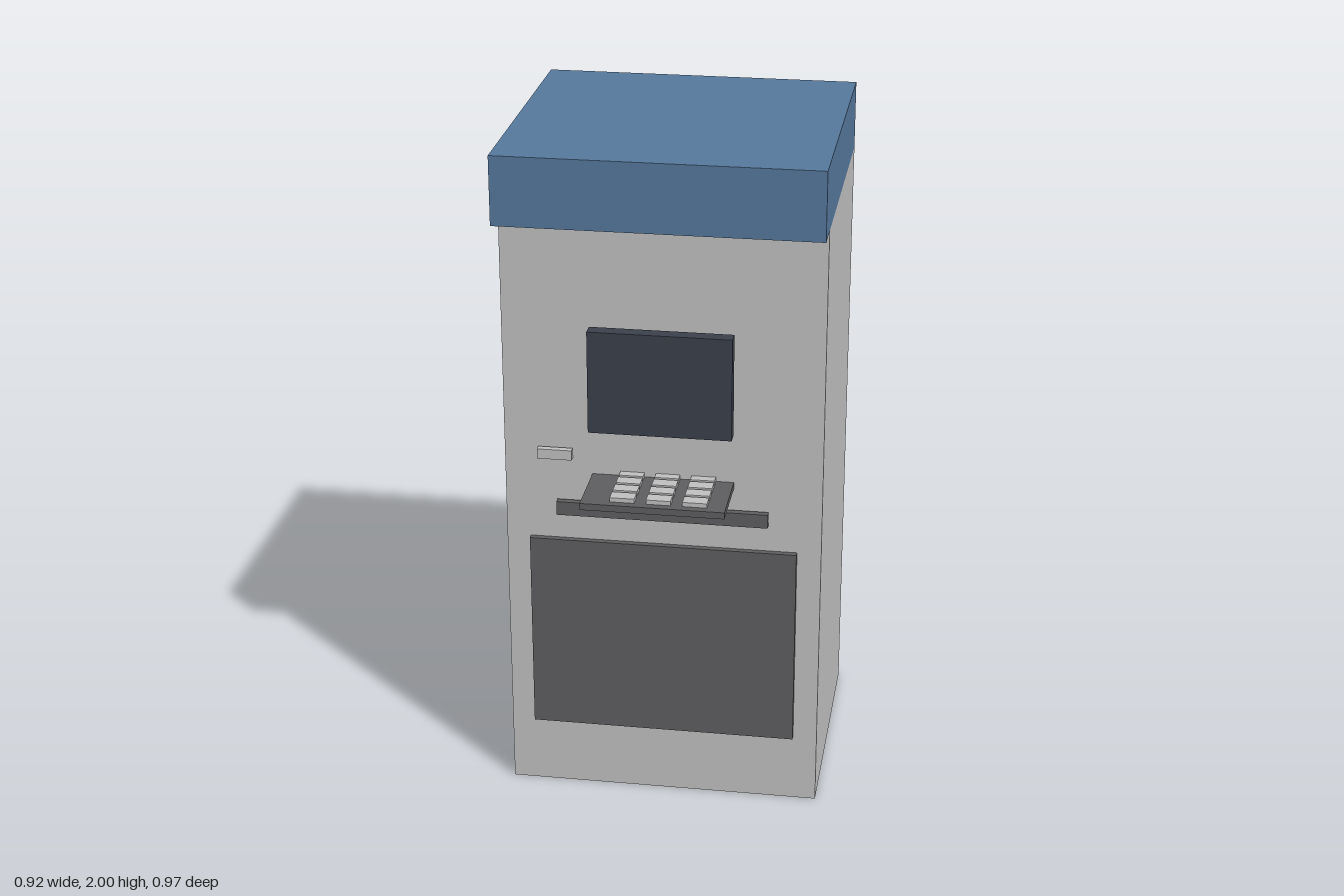
import * as THREE from 'three';

const material = (name, color) => {
  const m = new THREE.MeshStandardMaterial({ color });
  m.name = name;
  return m;
};

export function createModel() {
  const lightGrey = material('light grey', 0xc0c0c1);
  const darkGrey = material('dark grey', 0x5e5e60);
  const blue = material('blue', 0x55789c);
  const glass = material('dark screen', 0x3a404b);

  const model = new THREE.Group();
  model.name = 'cashMachine';

  // Box given by its extents on each axis
  const box = (name, mat, [x0, x1], [y0, y1], [z0, z1], parent = model) => {
    const mesh = new THREE.Mesh(new THREE.BoxGeometry(x1 - x0, y1 - y0, z1 - z0), mat);
    mesh.position.set((x0 + x1) / 2, (y0 + y1) / 2, (z0 + z1) / 2);
    mesh.name = name;
    parent.add(mesh);
  };

  // Cabinet and overhanging canopy
  box('cabinet', lightGrey, [-0.46, 0.46], [0, 1.8], [-0.487, 0.284]);
  box('canopy', blue, [-0.46, 0.46], [1.8, 2], [-0.487, 0.383]);

  // Front fittings; the screen and slots stand just clear of the cabinet
  box('screen', glass, [-0.205, 0.205], [1.185, 1.49], [0.304, 0.345]);
  box('cardSlot', lightGrey, [-0.36, -0.26], [1.08, 1.11], [0.293, 0.313]);
  box('cashSlot', darkGrey, [-0.307, 0.307], [0.905, 0.947], [0.293, 0.313]);
  box('lowerPanel', darkGrey, [-0.39, 0.39], [0.21, 0.82], [0.27, 0.302]);

  // Keypad shelf with four rows of three keys
  const keypad = new THREE.Group();
  keypad.name = 'keypad';
  model.add(keypad);
  box('keypadShelf', darkGrey, [-0.205, 0.205], [1.01, 1.03], [0.28, 0.487], keypad);
  for (let row = 0; row < 4; row++) {
    for (let col = 0; col < 3; col++) {
      const x = -0.123 + col * 0.103;
      const z = 0.424 - row * 0.051;
      box('key', lightGrey, [x, x + 0.07], [1.028, 1.043], [z, z + 0.04], keypad);
    }
  }
  return model;
}
